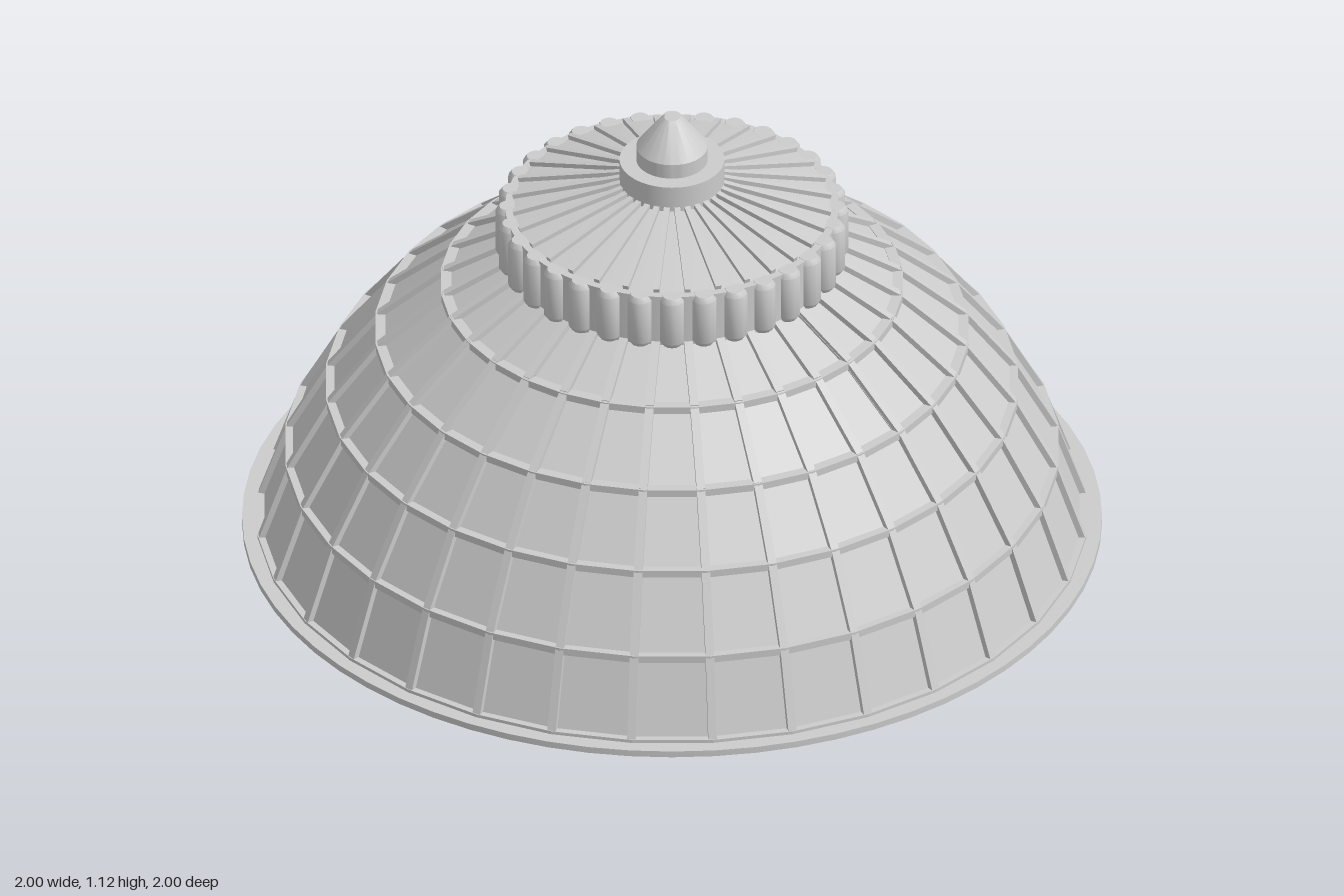
import * as THREE from 'three';
import { mergeGeometries, toCreasedNormals } from 'three/addons/utils/BufferGeometryUtils.js';

const SIDES = 32;
const STEP = (Math.PI * 2) / SIDES;

// Dome profile as [radius, height], one point per ring of panels
const PROFILE = [[0.955, 0.015], [0.89, 0.205], [0.795, 0.38], [0.68, 0.53], [0.527, 0.66], [0.36, 0.755]];
const CAP = [[0.37, 0.878], [0.11, 0.945]];

const flat = new THREE.MeshStandardMaterial({ color: 0xcccccc, flatShading: true });
const smooth = new THREE.MeshStandardMaterial({ color: 0xcccccc });

const lathe = (pts, n) => new THREE.LatheGeometry(pts.map(([r, y]) => new THREE.Vector2(r, y)), n);

// Straight bar from p to q in the radial plane at azimuth 0
function bar(p, q, width, depth) {
  const dr = q[0] - p[0], dy = q[1] - p[1];
  return new THREE.BoxGeometry(width, Math.hypot(dr, dy), depth)
    .rotateX(Math.atan2(dr, dy))
    .translate(0, (p[1] + q[1]) / 2, (p[0] + q[0]) / 2);
}

// Copies of a geometry spaced evenly about the vertical axis
function around(geometry, count, offset = 0) {
  const copies = [];
  for (let i = 0; i < count; i++) {
    copies.push(geometry.clone().rotateY(offset + (i * Math.PI * 2) / count));
  }
  return mergeGeometries(copies);
}

// Bars that follow a whole profile
const rib = (profile, width, depth, shift = 0) => mergeGeometries(
  profile.slice(1).map((q, i) => bar([profile[i][0] + shift, profile[i][1]], [q[0] + shift, q[1]], width, depth)));

// Horizontal wedge pointing inward from the dome wall
function gusset([r, y]) {
  const R = r - 0.012, a = STEP;
  const shape = new THREE.Shape([
    new THREE.Vector2(-R * Math.sin(a), R * Math.cos(a)),
    new THREE.Vector2(0, R - 0.085 * r),
    new THREE.Vector2(R * Math.sin(a), R * Math.cos(a)),
    new THREE.Vector2(0, R),
  ]);
  return new THREE.ExtrudeGeometry(shape, { depth: 0.016, bevelEnabled: false })
    .rotateX(Math.PI / 2)
    .translate(0, y + 0.003, 0);
}

export function createModel() {
  const model = new THREE.Group();
  const add = (name, geometry, material = flat) => {
    const mesh = new THREE.Mesh(geometry, material);
    mesh.name = name;
    model.add(mesh);
  };
  const addSmooth = (name, pts) => add(name, toCreasedNormals(lathe(pts, 64), 0.5), smooth);

  // Faceted dome wall with inner and outer faces
  const inner = PROFILE.map(([r, y]) => [r - 0.018, y - 0.008]).reverse();
  add('domeShell', lathe([...PROFILE, ...inner, PROFILE[0]], SIDES));

  // Raised lattice: upright ribs and horizontal rings
  add('domeRibs', around(rib(PROFILE, 0.02, 0.026), SIDES));
  const rings = PROFILE.slice(0, 5).map(([r, y]) => lathe([
    [r - 0.012, y - 0.009], [r + 0.013, y - 0.009], [r + 0.013, y + 0.009],
    [r - 0.012, y + 0.009], [r - 0.012, y - 0.009]], SIDES));
  add('domeRings', mergeGeometries(rings));

  // Flat flange at the foot
  addSmooth('baseFlange', [[0.935, 0], [1, 0], [1, 0.016], [0.935, 0.016], [0.935, 0]]);

  // Four inner seams with wedges at each ring
  add('innerSeamRibs', around(rib(PROFILE, 0.022, 0.03, -0.02), 4, Math.PI / 4));
  add('innerGussets', around(mergeGeometries(PROFILE.slice(0, 5).map(gusset)), 4, Math.PI / 4));

  // Collar with rounded studs set between the ribs
  addSmooth('collar', [[0, 0.745], [0.388, 0.745], [0.388, 0.878], [0, 0.878]]);
  const stud = lathe([[0, 0.745], [0.022, 0.745], [0.03, 0.757], [0.03, 0.867], [0.022, 0.879], [0, 0.879]], 12)
    .translate(0, 0, 0.38);
  add('collarStuds', toCreasedNormals(around(stud, SIDES, STEP / 2), 0.6), smooth);

  // Shallow conical cap with radial ribs
  addSmooth('capRoof', [[0, 0.87], [0.372, 0.87], ...CAP, [0, 0.945]]);
  add('capRibs', around(rib(CAP, 0.014, 0.022), SIDES));

  // Finial
  addSmooth('finialBase', [[0, 0.92], [0.122, 0.92], [0.122, 1.008], [0, 1.008]]);
  addSmooth('finialPoint', [[0, 1], [0.083, 1], [0.083, 1.045], [0.032, 1.113], [0.018, 1.125], [0, 1.125]]);

  return model;
}
